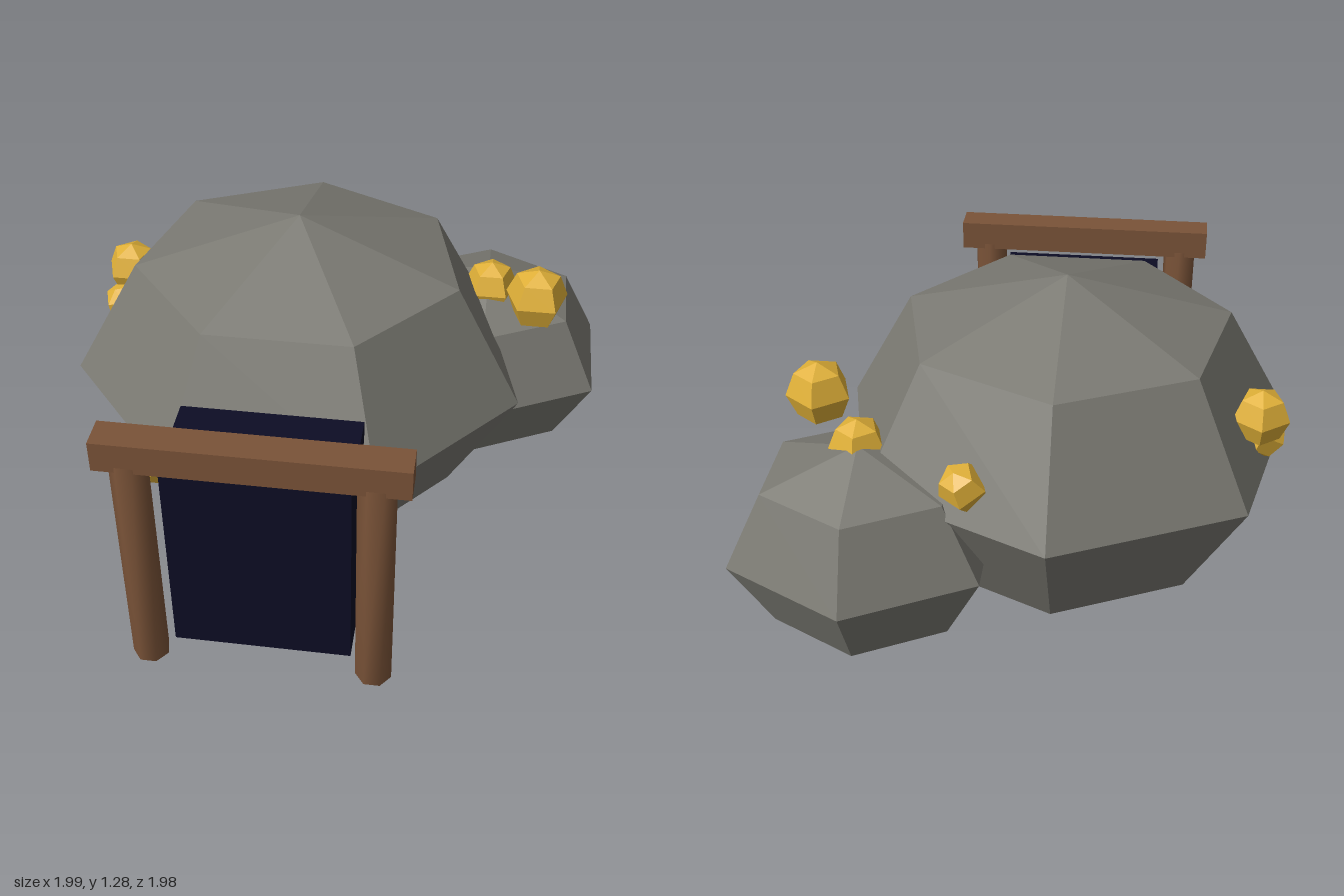
import * as THREE from 'three';
import { mergeVertices } from 'three/addons/utils/BufferGeometryUtils.js';

const flat = (name, color) => {
  const m = new THREE.MeshStandardMaterial({ color, flatShading: true });
  m.name = name;
  return m;
};

export function createModel() {
  const group = new THREE.Group();
  const rock = flat('rock grey', 0x7a7972);
  const gold = flat('gold', 0xe0b038);
  const dark = flat('tunnel dark', 0x0c0c24);
  const wood = new THREE.MeshStandardMaterial({ color: 0x7a5338 });
  wood.name = 'timber brown';

  const add = (name, geometry, material, x, y, z) => {
    const mesh = new THREE.Mesh(geometry, material);
    mesh.name = name;
    mesh.position.set(x, y, z);
    group.add(mesh);
    return mesh;
  };

  // Faceted stone: coarse sphere with a corner pointing to the back
  const stone = (sides, rx, ry, rz) =>
    new THREE.SphereGeometry(1, sides, 4).rotateY(-Math.PI / 2).scale(rx, ry, rz);

  // Boulders
  add('mainBoulder', stone(7, 0.867, 0.64, 0.81), rock, -0.15, 0.64, -0.06);
  add('sideBoulder', stone(6, 0.525, 0.405, 0.465), rock, 0.545, 0.405, -0.525);

  // Tunnel entrance
  add('tunnel', new THREE.BoxGeometry(0.64, 0.815, 0.335), dark, -0.15, 0.4675, 0.7525);

  // Timber frame: posts with softened ends, and a lintel
  for (const [name, x] of [['rightPost', -0.56], ['leftPost', 0.255]]) {
    let post = new THREE.CylinderGeometry(0.067, 0.067, 0.93, 7).rotateY(Math.PI);
    post.deleteAttribute('normal');
    post.deleteAttribute('uv');
    post = mergeVertices(post);
    post.computeVertexNormals();
    add(name, post, wood, x, 0.465, 0.93);
  }
  add('lintel', new THREE.BoxGeometry(1.04, 0.115, 0.114), wood, -0.15, 0.9675, 0.93);

  // Gold nuggets: x, y, z, radius, tilt about x, tilt about z
  const nuggets = [
    [0.737, 0.86, -0.267, 0.124, 0, 0],
    [0.557, 0.77, -0.463, 0.108, 0, 0],
    [-0.862, 0.86, -0.265, 0.107, 0, 0],
    [-0.88, 0.74, -0.19, 0.09, 0.4, 0.4],
    [0.15, 0.77, -0.675, 0.09, -0.4, -0.3],
    [0.57, 0.49, -0.115, 0.105, 0.2, -0.2],
    [-0.6, 0.53, 0.49, 0.1, 0.2, 0.1],
  ];
  for (const [x, y, z, r, tiltX, tiltZ] of nuggets) {
    add('goldNugget', stone(5, r, r, r), gold, x, y, z).rotation.set(tiltX, 0, tiltZ);
  }

  return group;
}
